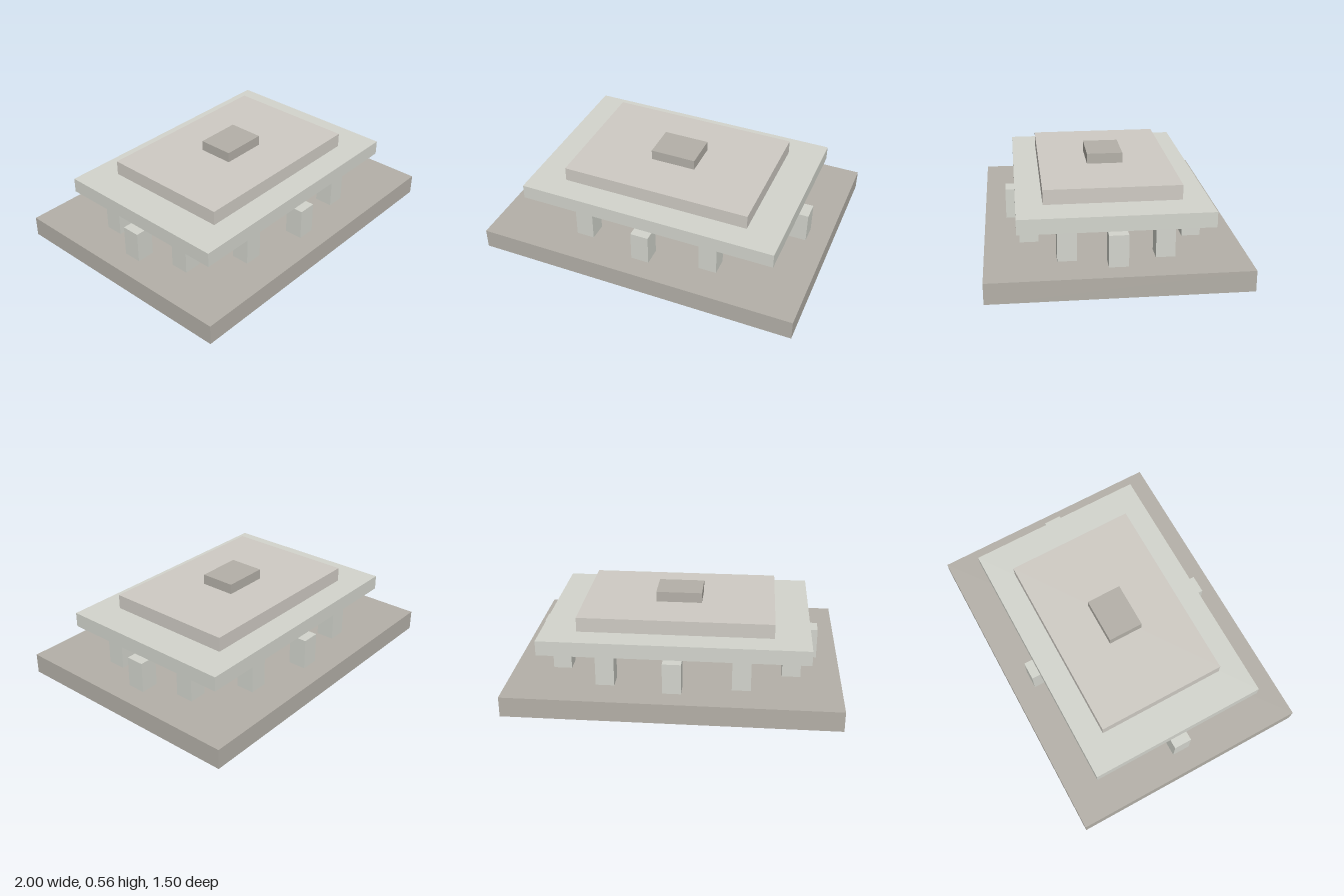
import * as THREE from 'three';

const material = (color) => new THREE.MeshStandardMaterial({ color });

export function createModel() {
  const model = new THREE.Group();
  model.name = 'pavilion';

  const darkStone = material(0xb4b0a8);
  const paleStone = material(0xd3d5cd);
  const warmStone = material(0xcfcbc4);

  // Box spanning bottom to top, centred on x and z
  function slab(name, width, depth, bottom, top, mat, parent = model, x = 0, z = 0) {
    const mesh = new THREE.Mesh(new THREE.BoxGeometry(width, top - bottom, depth), mat);
    mesh.name = name;
    mesh.position.set(x, (bottom + top) / 2, z);
    parent.add(mesh);
  }

  // Plinth and the stepped roof
  slab('base', 2, 1.5, 0, 0.125, darkStone);
  slab('lowerRoof', 1.62, 1.125, 0.315, 0.406, paleStone);
  slab('upperRoof', 1.186, 0.812, 0.406, 0.496, warmStone);
  slab('roofCap', 0.284, 0.22, 0.496, 0.56, darkStone);

  // Twelve square pillars on an oval, all facing forward
  const pillars = new THREE.Group();
  pillars.name = 'pillars';
  model.add(pillars);
  const count = 12;
  for (let i = 0; i < count; i++) {
    const a = (i / count) * Math.PI * 2;
    slab('pillar', 0.112, 0.112, 0.125, 0.315, paleStone, pillars,
      0.812 * Math.cos(a), 0.562 * Math.sin(a));
  }

  return model;
}
